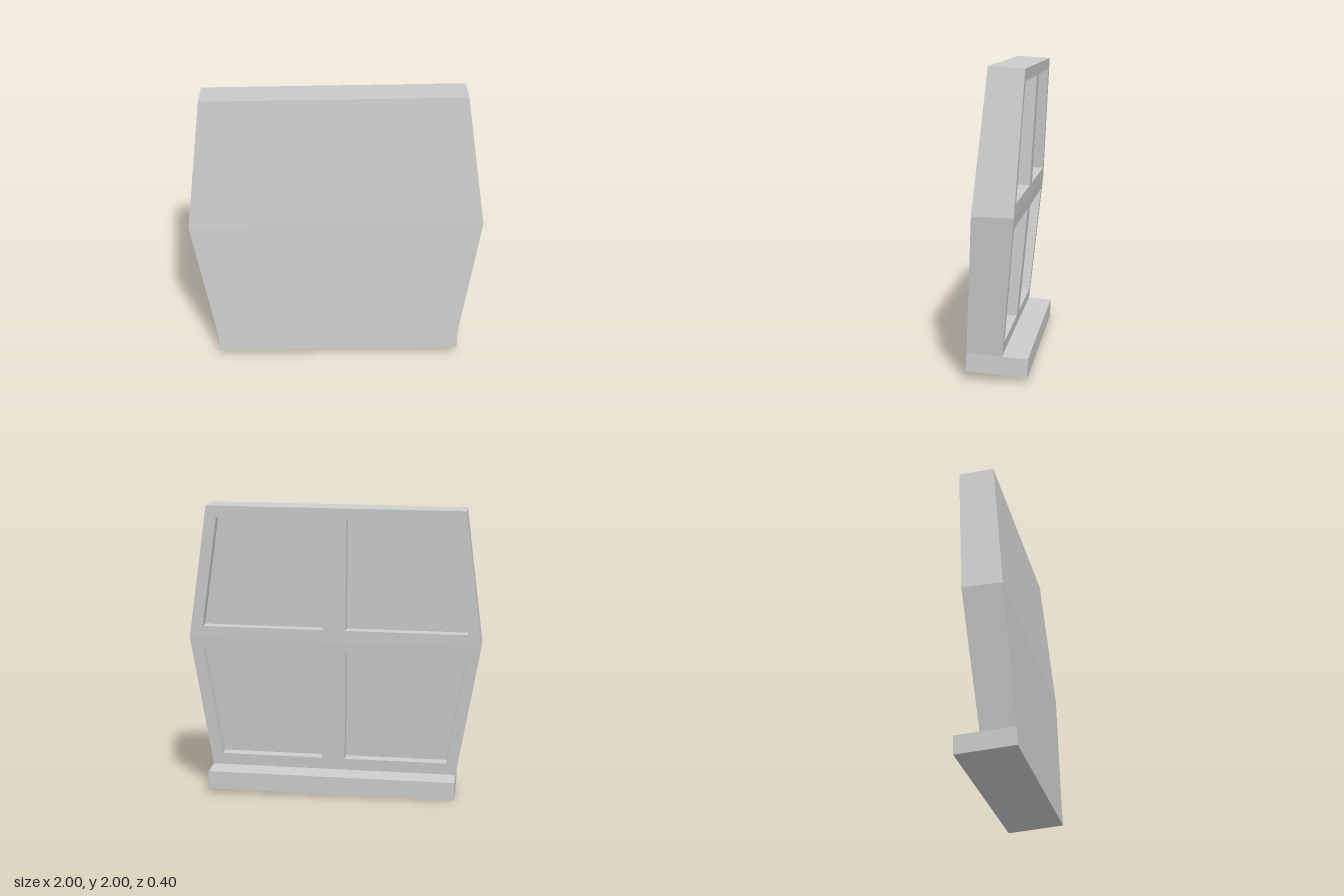
import * as THREE from 'three';

// Cross-section rows: half width w, front and back points as [y, z]
const rows = [
  { w: 0.875, front: [1.987, 0.05], back: [1.971, -0.18] },
  { w: 1.0, front: [1.07, 0.14], back: [1.063, -0.125] },
  { w: 0.85, front: [0.168, 0.193], back: [0.151, -0.035] },
];
const ledgePoints = { front: [0.048, 0.2], bottom: [0.014, -0.197], back: [0.137, -0.2] };
const MARGIN = 0.08, DEPTH = 0.08, ROLL = 0.0157;

const point = (x, [y, z]) => [x, y, z];
const mix = (a, b, t) => a.map((v, i) => v + (b[i] - v) * t);

// Collects counter-clockwise polygons (fanned from the first corner)
class Faces {
  positions = [];
  add(corners, flip = false) {
    const c = flip ? [...corners].reverse() : corners;
    for (let i = 1; i < c.length - 1; i++) this.positions.push(...c[0], ...c[i], ...c[i + 1]);
  }
  // Face spanning the full width between two profile points
  strip(a, wa, b, wb) {
    this.add([point(-wa, a), point(-wb, b), point(wb, b), point(wa, a)]);
  }
  // Closed loops joined by quads
  band(outer, inner, flip) {
    outer.forEach((p, i) => {
      const j = (i + 1) % outer.length;
      this.add([p, outer[j], inner[j], inner[i]], flip);
    });
  }
  mesh(name) {
    const g = new THREE.BufferGeometry();
    g.setAttribute('position', new THREE.Float32BufferAttribute(this.positions, 3));
    // The whole piece leans slightly to one side
    g.translate(0, -1, 0).rotateZ(ROLL).translate(0, 1, 0);
    g.computeVertexNormals();
    const m = new THREE.Mesh(g, new THREE.MeshStandardMaterial({ color: 0xcccccc, flatShading: true }));
    m.name = name;
    return m;
  }
}

// Back quarter: a frame around one sunken rectangular bay
function addBay(faces, top, bottom, sign) {
  const flip = sign < 0;
  const outer = [
    point(sign * top.w, top.back), point(sign * bottom.w, bottom.back),
    point(0, bottom.back), point(0, top.back),
  ];
  const t = MARGIN / (top.back[0] - bottom.back[0]);
  const at = (s) => ({ w: top.w + (bottom.w - top.w) * s, p: mix(top.back, bottom.back, s) });
  const hi = at(t), lo = at(1 - t);
  const inner = [
    point(sign * (hi.w - MARGIN), hi.p), point(sign * (lo.w - MARGIN), lo.p),
    point(sign * MARGIN, lo.p), point(sign * MARGIN, hi.p),
  ];
  const floor = inner.map(([x, y, z]) => [x, y + DEPTH * 0.07, z + DEPTH]);
  faces.band(outer, inner, flip);
  faces.band(inner, floor, flip);
  faces.add(floor, flip);
}

function createPanel() {
  const faces = new Faces();
  faces.strip(rows[0].back, rows[0].w, rows[0].front, rows[0].w);
  for (let i = 0; i < 2; i++) {
    const a = rows[i], b = rows[i + 1];
    faces.strip(a.front, a.w, b.front, b.w);
    for (const s of [1, -1]) {
      faces.add([point(s * a.w, a.front), point(s * b.w, b.front),
        point(s * b.w, b.back), point(s * a.w, a.back)], s < 0);
      addBay(faces, a, b, s);
    }
  }
  return faces.mesh('bentPanel');
}

// Foot of the panel with a ledge running out behind it
function createLedge() {
  const faces = new Faces();
  const low = rows[2], { front, bottom, back } = ledgePoints;
  const chain = [low.front, front, bottom, back, low.back];
  for (let i = 0; i < chain.length - 1; i++) faces.strip(chain[i], low.w, chain[i + 1], low.w);
  const side = [front, bottom, back, low.back, low.front];
  for (const s of [1, -1]) faces.add(side.map((p) => point(s * low.w, p)), s < 0);
  return faces.mesh('footLedge');
}

export function createModel() {
  const model = new THREE.Group();
  model.name = 'wallPanel';
  model.add(createPanel(), createLedge());
  return model;
}
